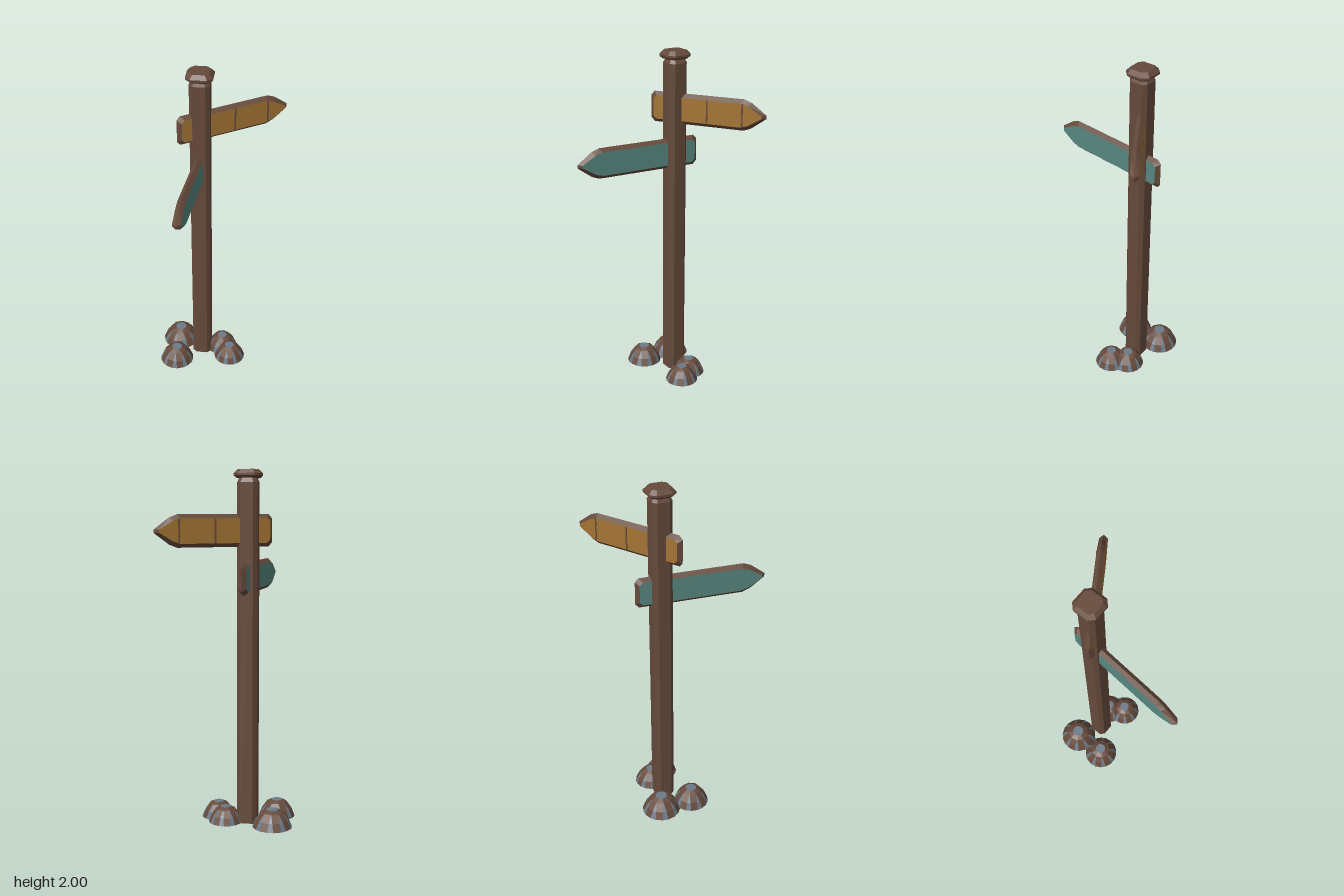
import * as THREE from 'three';

const mat = (name, color) => {
  const m = new THREE.MeshStandardMaterial({ color, flatShading: true });
  m.name = name;
  return m;
};

// Joins rings of [x, y, z] points (counter-clockwise seen from +z) into flat faces.
// keep(i) picks which columns are built; ends closes the first and last ring.
function loft(rings, { keep = () => true, ends = [true, true] } = {}) {
  const p = [];
  const n = rings[0].length;
  for (let r = 0; r + 1 < rings.length; r++) {
    for (let i = 0; i < n; i++) {
      if (!keep(i)) continue;
      const j = (i + 1) % n;
      const [a, b, c, d] = [rings[r][i], rings[r][j], rings[r + 1][j], rings[r + 1][i]];
      p.push(...a, ...b, ...c, ...a, ...c, ...d);
    }
  }
  const first = rings[0], last = rings[rings.length - 1];
  for (let i = 1; i + 1 < n; i++) {
    if (ends[0]) p.push(...first[0], ...first[i + 1], ...first[i]);
    if (ends[1]) p.push(...last[0], ...last[i], ...last[i + 1]);
  }
  const g = new THREE.BufferGeometry();
  g.setAttribute('position', new THREE.Float32BufferAttribute(p, 3));
  g.computeVertexNormals();
  return g;
}

// Square ring with cut corners
function cutSquare(h, z) {
  const k = h * 0.61;
  return [[h, -k], [h, k], [k, h], [-k, h], [-h, k], [-h, -k], [-k, -h], [k, -h]].map(([x, y]) => [x, y, z]);
}

function add(parent, name, geometry, material) {
  const m = new THREE.Mesh(geometry, material);
  m.name = name;
  parent.add(m);
  return m;
}

// Arrow board along +x with bevelled rim and a coloured face on both sides
function arrowBoard(name, tail, tip, wood, paint) {
  const g = new THREE.Group();
  g.name = name;
  const h = 0.089, t = 0.023, inset = 0.021;
  const half = [[tail, h - 0.022], [tail + 0.02, h], [tip - 0.13, h], [tip - 0.085, h - 0.017], [tip, 0.01]];
  const outline = [...half.map(([x, y]) => [x, -y]), ...half.slice().reverse()];
  const mid = (tail + tip) / 2;
  const inner = outline.map(([x, y]) => [mid + (x - mid) * (1 - 2 * inset / (tip - tail)), y * (1 - inset / h)]);
  const at = (pts, z) => pts.map(([x, y]) => [x, y, z]);
  add(g, 'boardRim', loft([at(inner, -t), at(outline, 0), at(inner, t)], { ends: [false, false] }), wood);
  const face = new THREE.ShapeGeometry(new THREE.Shape(inner.map(([x, y]) => new THREE.Vector2(x, y))));
  add(g, 'frontPanel', face, paint).position.z = t;
  const back = add(g, 'backPanel', face, paint);
  back.rotation.x = Math.PI;
  back.position.z = -t;
  return g;
}

// Domed rock: brown ribs with grey wedges between them and a grey crown
function rock(x, z, radius, height, turn, wood, stone) {
  const g = new THREE.Group();
  g.name = 'rock';
  const count = 9;
  const ring = (r, y, share) => {
    const pts = [];
    for (let i = 0; i < count; i++) {
      for (const s of [-share, share]) {
        const a = ((i + s / 2) / count) * Math.PI * 2 + turn;
        pts.push([Math.cos(a) * r * radius, Math.sin(a) * r * radius, y * height]);
      }
    }
    return pts;
  };
  const rings = [ring(1, 0, 0.44), ring(0.83, 0.45, 0.32), ring(0.56, 0.86, 0.06), ring(0.3, 1, 0.5)];
  const side = loft(rings, { keep: (i) => i % 2 === 1, ends: [true, false] });
  const wedge = loft(rings.slice(0, 3), { keep: (i) => i % 2 === 0, ends: [false, false] });
  const shoulder = loft(rings.slice(2), { keep: (i) => i % 2 === 0, ends: [false, false] });
  const crown = loft([rings[3], rings[3]], { keep: () => false, ends: [false, true] });
  for (const geo of [side, wedge, shoulder, crown]) geo.rotateX(-Math.PI / 2);
  add(g, 'rockRibs', side, wood);
  add(g, 'rockWedges', wedge, stone);
  add(g, 'rockShoulder', shoulder, wood);
  add(g, 'rockCrown', crown, stone);
  g.position.set(x, 0, z);
  return g;
}

export function createModel() {
  const model = new THREE.Group();
  model.name = 'signpost';
  const wood = mat('brown wood', 0x664a3b);
  const ochre = mat('ochre paint', 0xa47434);
  const teal = mat('teal paint', 0x588780);
  const stone = mat('grey stone', 0x6c7a88);

  // Post, cap and boards share the post axis
  const sign = new THREE.Group();
  sign.name = 'post';
  sign.position.set(-0.097, 0, -0.152);
  model.add(sign);
  const column = (rings) => loft(rings.map(([h, y]) => cutSquare(h, y))).rotateX(-Math.PI / 2);
  add(sign, 'postShaft', column([[0.057, 0], [0.057, 1.93], [0.042, 1.96]]), wood);
  add(sign, 'postCap', column([[0.06, 1.953], [0.0745, 1.966], [0.0745, 1.978], [0.055, 2]]), wood);

  const upper = arrowBoard('upperBoard', -0.144, 0.547, wood, ochre);
  upper.position.y = 1.668;
  upper.rotation.y = 0.578;
  // Plank seams on the upper board
  for (const x of [0.205, 0.413]) {
    add(upper, 'boardSeam', new THREE.BoxGeometry(0.009, 0.134, 0.049), wood).position.x = x;
  }
  const lower = arrowBoard('lowerBoard', -0.145, 0.61, wood, teal);
  lower.position.y = 1.405;
  lower.rotation.y = -1.66;
  sign.add(upper, lower);

  // Rocks around the foot: x, z, radius, height, turn
  const rocks = [
    [-0.25, -0.225, 0.113, 0.1, 0.2],
    [-0.25, -0.03, 0.105, 0.098, 0.5],
    [0.028, -0.182, 0.097, 0.09, 0.1],
    [0.085, -0.093, 0.097, 0.09, 0.35],
  ];
  for (const r of rocks) model.add(rock(...r, wood, stone));
  return model;
}
